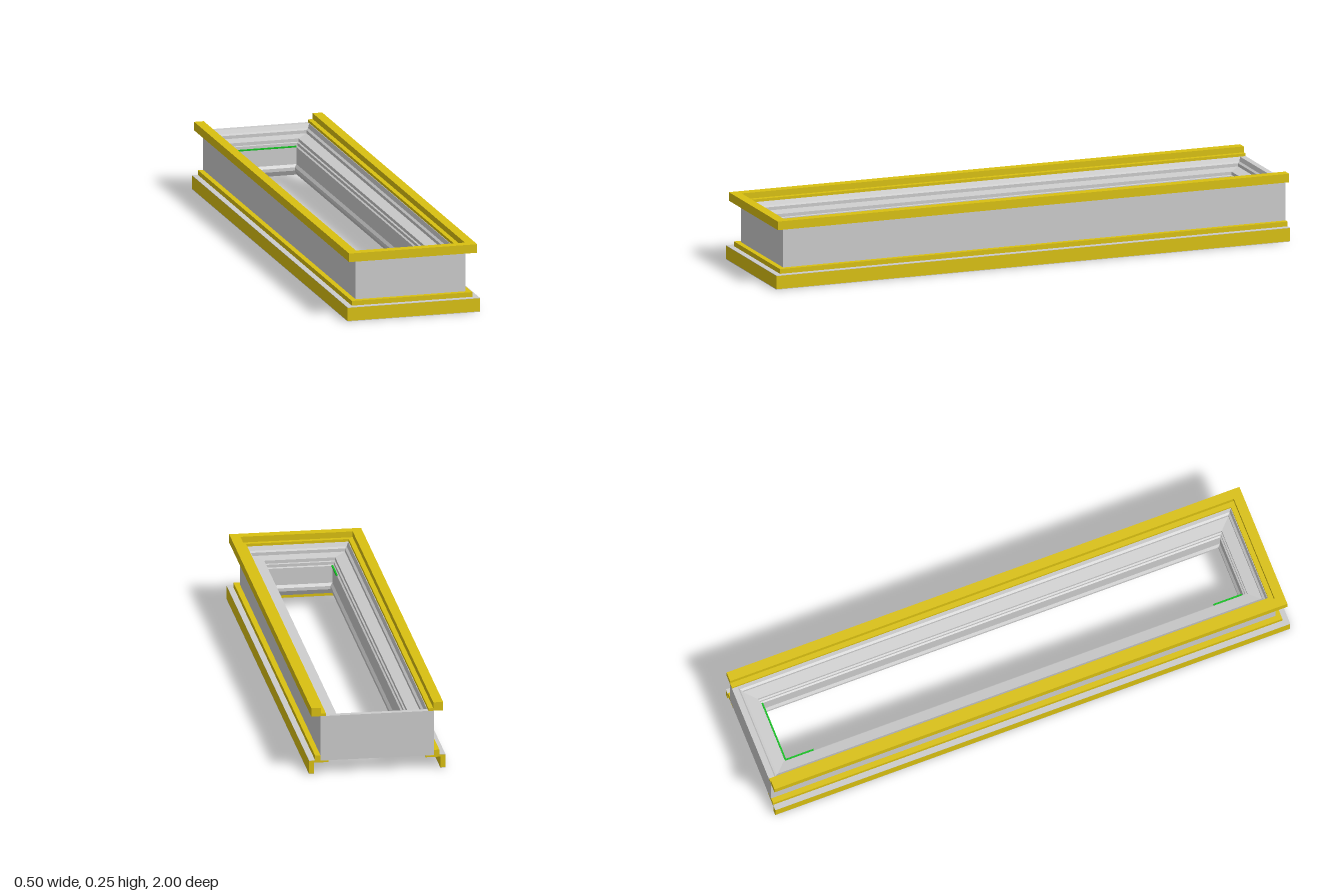
import * as THREE from 'three';

const HALF = 0.208, FRONT = 0.96, BACK = -1;

// Sweeps a counter-clockwise profile [outward offset, height] around the rectangle with
// mitred corners: a closed ring, or a U (left, front, right) that is cut off at the back.
function sweep(profile, closed) {
  const corner = (k, [d, y]) => [
    (k < 2 ? -1 : 1) * (HALF + d), y,
    k === 1 || k === 2 ? FRONT + d : BACK - (closed ? d : 0)];
  const pos = [];
  const n = profile.length;
  for (let k = 0; k < (closed ? 4 : 3); k++) {
    const m = (k + 1) % 4;
    for (let i = 0; i < n; i++) {
      const p = profile[i], q = profile[(i + 1) % n];
      const a = corner(k, p), b = corner(k, q), c = corner(m, q), d = corner(m, p);
      pos.push(...a, ...d, ...c, ...a, ...c, ...b);
    }
  }
  // End caps of the U
  if (!closed) {
    const pts = profile.map(([d, y]) => new THREE.Vector2(d, y));
    for (const [i, j, l] of THREE.ShapeUtils.triangulateShape(pts, [])) {
      pos.push(...corner(0, profile[i]), ...corner(0, profile[j]), ...corner(0, profile[l]));
      pos.push(...corner(3, profile[i]), ...corner(3, profile[l]), ...corner(3, profile[j]));
    }
  }
  const g = new THREE.BufferGeometry();
  g.setAttribute('position', new THREE.Float32BufferAttribute(pos, 3));
  g.computeVertexNormals();
  return g;
}

const rect = (d0, d1, y0, y1) => [[d0, y0], [d1, y0], [d1, y1], [d0, y1]];

export function createModel() {
  const group = new THREE.Group();
  const grey = new THREE.MeshStandardMaterial({ color: 0xcccccc });
  const yellow = new THREE.MeshStandardMaterial({ color: 0xd9c011 });
  const green = new THREE.MeshStandardMaterial({ color: 0x10c020 });
  const add = (name, geometry, material) => {
    const mesh = new THREE.Mesh(geometry, material);
    mesh.name = name;
    group.add(mesh);
    return mesh;
  };

  // Rectangular frame with a stepped, rebated inner side
  add('frameBody', sweep([
    [0, 0.05], [0, 0.22], [-0.022, 0.22], [-0.028, 0.205], [-0.036, 0.2],
    [-0.036, 0.188], [-0.078, 0.182], [-0.078, 0.17], [-0.084, 0.168],
    [-0.084, 0.157], [-0.09, 0.154], [-0.09, 0.09], [-0.098, 0.08],
    [-0.098, 0.068], [-0.088, 0.05],
  ], true), grey);

  // Top trim: raised outer bar with a low flange lying on the rim
  add('topTrim', sweep([
    [-0.02, 0.22], [0.034, 0.22], [0.034, 0.252], [-0.002, 0.252],
    [-0.002, 0.23], [-0.02, 0.23],
  ], false), yellow);

  // Bottom trim: outer skirt, flange under the frame and a small step above
  add('bottomTrim', sweep([
    [-0.03, 0.043], [0.024, 0.043], [0.024, 0.002], [0.042, 0.002],
    [0.042, 0.051], [0.02, 0.051], [0.02, 0.07], [0, 0.07], [0, 0.0495], [-0.03, 0.0495],
  ], false), yellow);
  add('bottomTrimLedge', sweep(rect(0.02, 0.042, 0.051, 0.0525), false), grey);
  add('bottomTrimFoot', sweep(rect(0.024, 0.042, 0, 0.002), false), grey);

  // Thin seal pieces on the inner edge
  const seal = (name, w, l, x, z) =>
    add(name, new THREE.BoxGeometry(w, 0.005, l), green).position.set(x, 0.156, z);
  seal('backSeal', 0.236, 0.006, 0, -0.909);
  seal('sideSealBack', 0.006, 0.11, -0.117, -0.855);
  seal('sideSealFront', 0.006, 0.11, -0.117, 0.81);

  return group;
}
